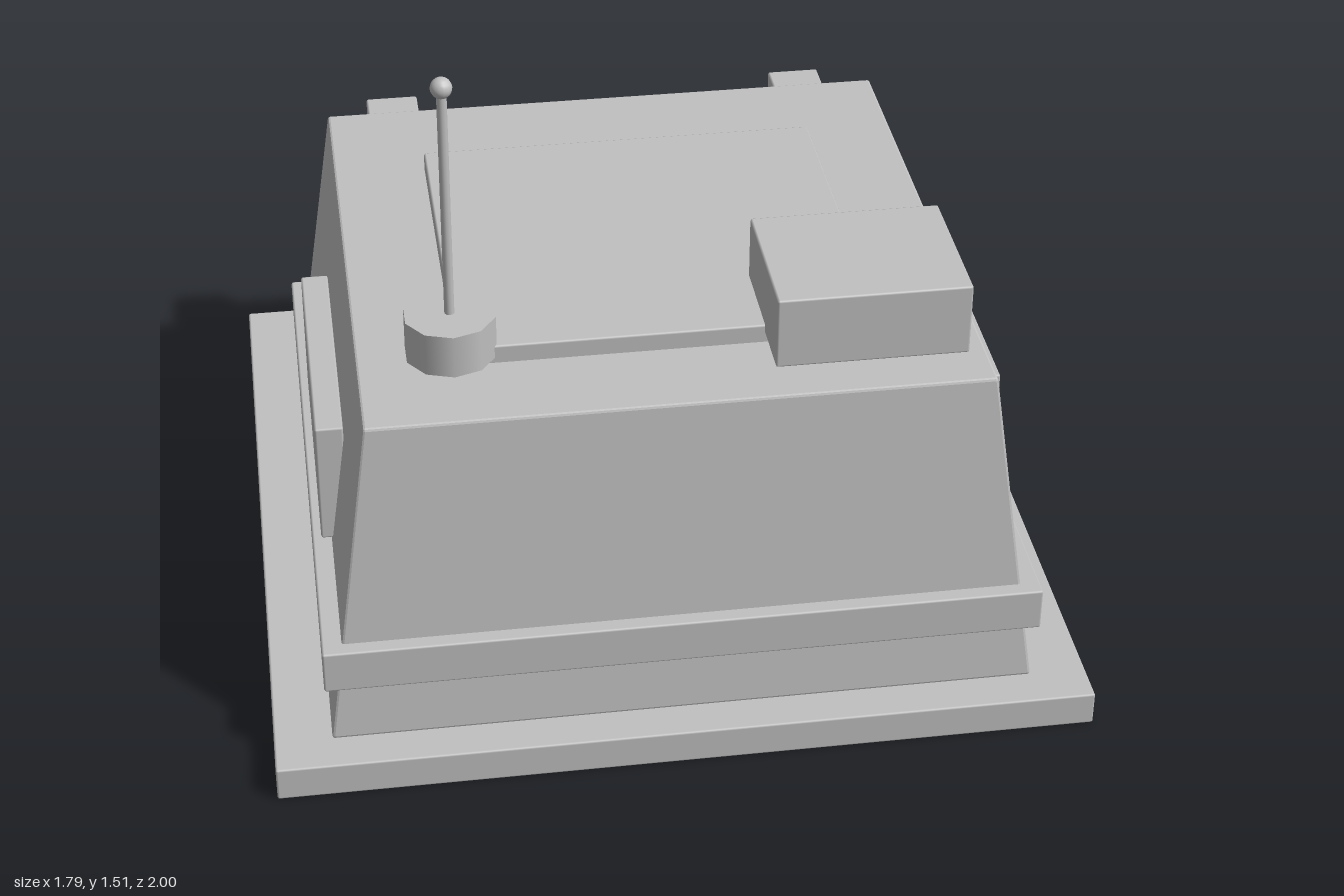
import * as THREE from 'three';
import { RoundedBoxGeometry } from 'three/addons/geometries/RoundedBoxGeometry.js';

const grey = new THREE.MeshStandardMaterial({ color: 0xc0c0c0 });
grey.name = 'plain grey';

export function createModel() {
  const model = new THREE.Group();
  model.name = 'bunker';

  const add = (name, geometry, x, y, z, parent = model) => {
    const mesh = new THREE.Mesh(geometry, grey);
    mesh.name = name;
    mesh.position.set(x, y, z);
    parent.add(mesh);
    return mesh;
  };
  // softly bevelled box given by its min and max on each axis
  const box = (name, x0, x1, y0, y1, z0, z1, parent = model, bevel = 0.005) =>
    add(name, new RoundedBoxGeometry(x1 - x0, y1 - y0, z1 - z0, 1, bevel),
      (x0 + x1) / 2, (y0 + y1) / 2, (z0 + z1) / 2, parent);

  // ground slab
  box('baseSlab', -0.895, 0.895, 0, 0.08, -0.79, 1);

  // sloped hull: a bevelled box narrowed towards the top
  const height = 0.755;
  const hull = new RoundedBoxGeometry(1.54, height, 1.455, 1, 0.006);
  const p = hull.attributes.position;
  for (let i = 0; i < p.count; i++) {
    const t = p.getY(i) / height + 0.5;
    p.setX(i, p.getX(i) * (1 - t * 0.136));
    p.setZ(i, p.getZ(i) * (1 - t * 0.096));
  }
  hull.computeVertexNormals();
  add('hull', hull, 0, 0.08 + height / 2, 0.1875);

  // belt around the hull
  box('belt', -0.78, 0.78, 0.22, 0.32, -0.55, 0.925);

  // roof fittings
  box('roofHatch', -0.455, 0.455, 0.82, 0.877, -0.19, 0.64);
  box('roofUnit', 0.205, 0.62, 0.855, 1.02, 0.435, 0.77);

  // antenna
  const antenna = new THREE.Group();
  antenna.name = 'antenna';
  antenna.position.set(-0.463, 0, 0.602);
  model.add(antenna);
  const mount = new THREE.CylinderGeometry(0.1, 0.1, 0.098, 10);
  add('antennaMount', mount, 0, 0.897, 0, antenna);
  add('antennaRod', new THREE.CylinderGeometry(0.011, 0.011, 0.55, 10), 0, 1.2, 0, antenna);
  add('antennaTip', new THREE.SphereGeometry(0.023, 14, 10), 0, 1.483, 0, antenna);

  // doorway on the back
  box('doorFrame', -0.45, 0.45, 0.08, 0.72, -0.615, -0.5);
  box('door', -0.355, 0.35, 0.08, 0.605, -0.638, -0.6);

  // ramp tilted slightly upwards at its outer end
  const ramp = new THREE.Group();
  ramp.name = 'ramp';
  ramp.position.set(0, 0.094, -0.805);
  ramp.rotation.x = 0.125;
  model.add(ramp);
  box('rampPlate', -0.392, 0.392, -0.02, 0.02, -0.195, 0.195, ramp);

  for (const side of [-1, 1]) {
    const pair = (name, x, w, y0, y1, z0, z1, parent) =>
      box(name, side * x - w / 2, side * x + w / 2, y0, y1, z0, z1, parent);
    // upright plates on the flanks
    pair('sidePanel', 0.729, 0.062, 0.335, 0.628, -0.083, 0.54);
    // door pillars with small lamps
    pair('doorPillar', 0.503, 0.124, 0.08, 0.79, -0.623, -0.5);
    pair('pillarLamp', 0.503, 0.06, 0.62, 0.72, -0.638, -0.61);
    // raised ramp rails
    pair('rampRail', 0.355, 0.06, 0.01, 0.034, -0.195, 0.195, ramp);
  }
  return model;
}
